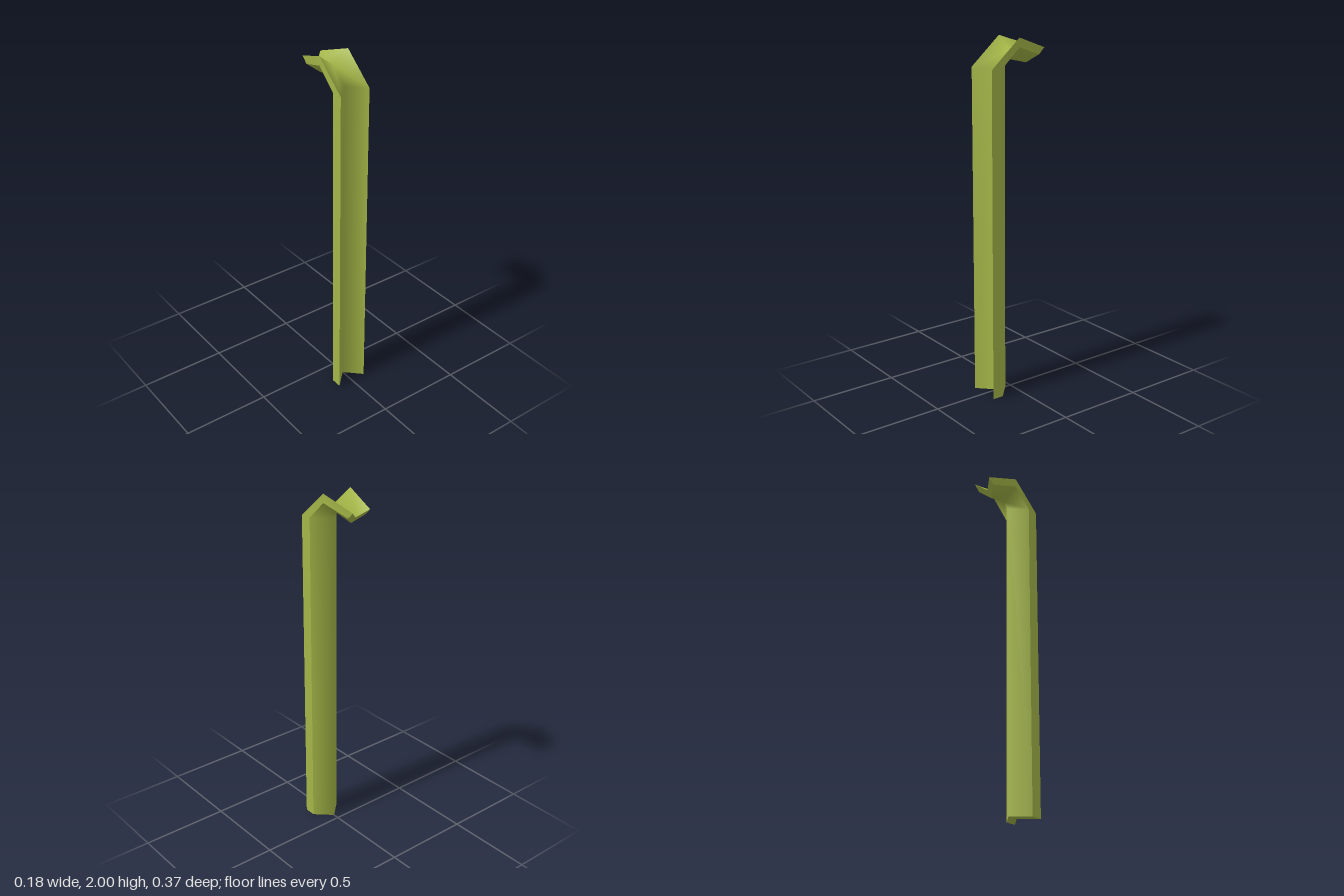
import * as THREE from 'three';

export function createModel() {
  const group = new THREE.Group();
  const leafGreen = new THREE.MeshStandardMaterial({ color: 0xa2b446 });

  // V-shaped cross-sections from the foot to the bent tip:
  // half width, then [y, z] of wing front, centre front, wing back, centre back
  const sections = [
    [0.09, [0, 0.185], [0, 0.097], [0, 0.12], [0, 0.035]],
    [0.09, [1.845, 0.185], [1.845, 0.097], [1.845, 0.12], [1.845, 0.035]],
    [0.09, [2, 0.007], [1.93, 0.007], [1.95, 0.007], [1.88, 0.005]],
    [0.057, [1.935, -0.185], [1.893, -0.14], [1.9, -0.15], [1.855, -0.105]],
  ];

  // Each ring runs right to left along the front, then back again behind
  const rings = sections.map(([w, wf, cf, wb, cb]) => [
    [-w, ...wf], [0, ...cf], [w, ...wf], [w, ...wb], [0, ...cb], [-w, ...wb],
  ]);

  function addSurface(name, points, indices) {
    const geometry = new THREE.BufferGeometry();
    geometry.setAttribute('position', new THREE.Float32BufferAttribute(points.flat(), 3));
    geometry.setIndex(indices);
    geometry.computeVertexNormals();
    const mesh = new THREE.Mesh(geometry, leafGreen);
    mesh.name = name;
    group.add(mesh);
  }

  // Skin a run of ring corners along the blade, smooth within the run
  function addStrip(name, corners) {
    const n = corners.length;
    const points = rings.flatMap((ring) => corners.map((c) => ring[c]));
    const indices = [];
    for (let k = 0; k < rings.length - 1; k++) {
      for (let i = 0; i < n - 1; i++) {
        const a = k * n + i, b = a + 1, c = b + n, d = a + n;
        // Mirror the diagonal about the centre line
        if (i === 0) indices.push(a, b, c, a, c, d);
        else indices.push(a, b, d, b, c, d);
      }
    }
    addSurface(name, points, indices);
  }

  addStrip('frontSurface', [0, 1, 2]);
  addStrip('leftEdge', [2, 3]);
  addStrip('backSurface', [3, 4, 5]);
  addStrip('rightEdge', [5, 0]);

  // V-shaped end faces
  const cap = [0, 1, 4, 0, 4, 5, 1, 2, 3, 1, 3, 4];
  addSurface('tipEnd', rings[3], cap);
  addSurface('footEnd', rings[0], [...cap].reverse());

  return group;
}
